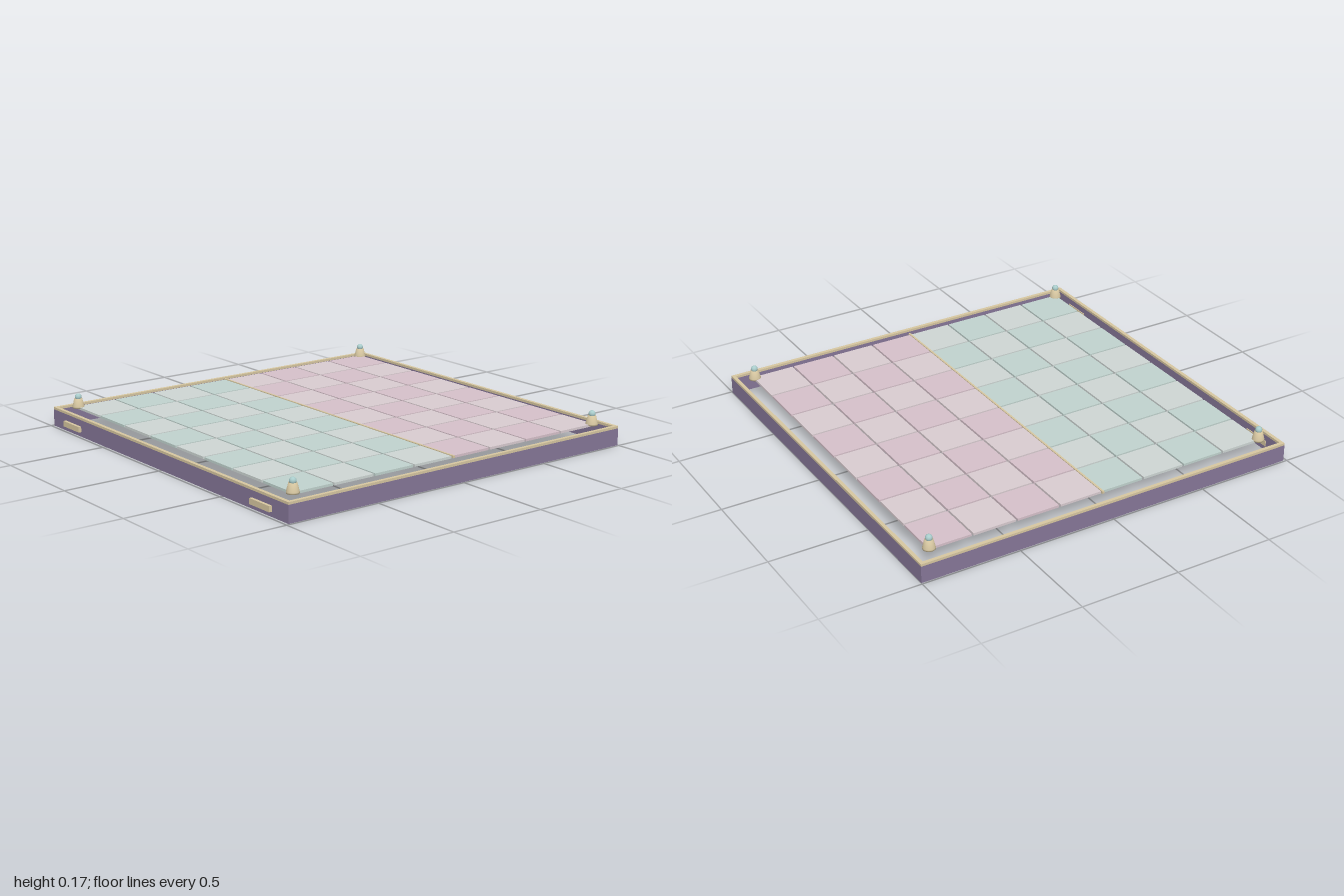
import * as THREE from 'three';

const mat = (color) => new THREE.MeshStandardMaterial({ color });

export function createModel() {
  const group = new THREE.Group();
  const purple = mat(0x857697), gold = mat(0xd6c6a0), glass = mat(0xa9cccb);
  const tileMats = {
    far: [mat(0xd5c0c9), mat(0xd8cbcf)],
    near: [mat(0xc0d2cd), mat(0xcdd5d3)],
  };
  const CZ = -0.0075; // board centre, the front plates stick out beyond it
  const HALF = 0.9925;

  const add = (name, geometry, material, x, y, z) => {
    const mesh = new THREE.Mesh(geometry, material);
    mesh.name = name;
    mesh.position.set(x, y, z);
    group.add(mesh);
    return mesh;
  };
  const box = (name, material, w, h, d, x, y, z) =>
    add(name, new THREE.BoxGeometry(w, h, d), material, x, y, z);

  // Open square frame: thin walls with a trim strip on top
  const frame = (name, material, t, y0, y1) => {
    const h = y1 - y0, y = (y0 + y1) / 2;
    for (const s of [-1, 1]) {
      box(name + 'Side', material, t, h, 2 * HALF, s * (HALF - t / 2), y, CZ);
      box(name + (s > 0 ? 'Front' : 'Back'), material, 2 * (HALF - t), h, t, 0, y, CZ + s * (HALF - t / 2));
    }
  };
  frame('wall', purple, 0.015, 0, 0.085);
  frame('trim', gold, 0.018, 0.085, 0.097);

  // Eight by eight checkered tiles, one hue for each half
  const pitch = 0.2283, size = 0.2185;
  const tile = new THREE.BoxGeometry(size, 0.012, size);
  for (let r = 0; r < 8; r++) {
    for (let c = 0; c < 8; c++) {
      const hue = r < 4 ? tileMats.far : tileMats.near;
      add('tile', tile, hue[(r + c) % 2], (c - 3.5) * pitch, 0.098, CZ + (r - 3.5) * pitch);
    }
  }

  // Dividing strip between the halves
  box('divider', gold, 1.84, 0.012, 0.01, 0, 0.102, CZ);

  // Corner pegs with a round glass tip
  const post = new THREE.LatheGeometry([
    [0, 0.098], [0.03, 0.098], [0.03, 0.106], [0.02, 0.146], [0, 0.146],
  ].map(([x, y]) => new THREE.Vector2(x, y)), 20);
  const tip = new THREE.SphereGeometry(0.017, 20, 14);
  for (const sx of [-1, 1]) {
    for (const sz of [-1, 1]) {
      add('pegPost', post, gold, sx * 0.902, 0, CZ + sz * 0.902);
      add('pegTip', tip, glass, sx * 0.902, 0.154, CZ + sz * 0.902);
    }
  }

  // Small plates set through the front wall
  for (const s of [-1, 1]) box('frontPlate', gold, 0.147, 0.028, 0.034, s * 0.799, 0.038, 0.983);

  return group;
}
